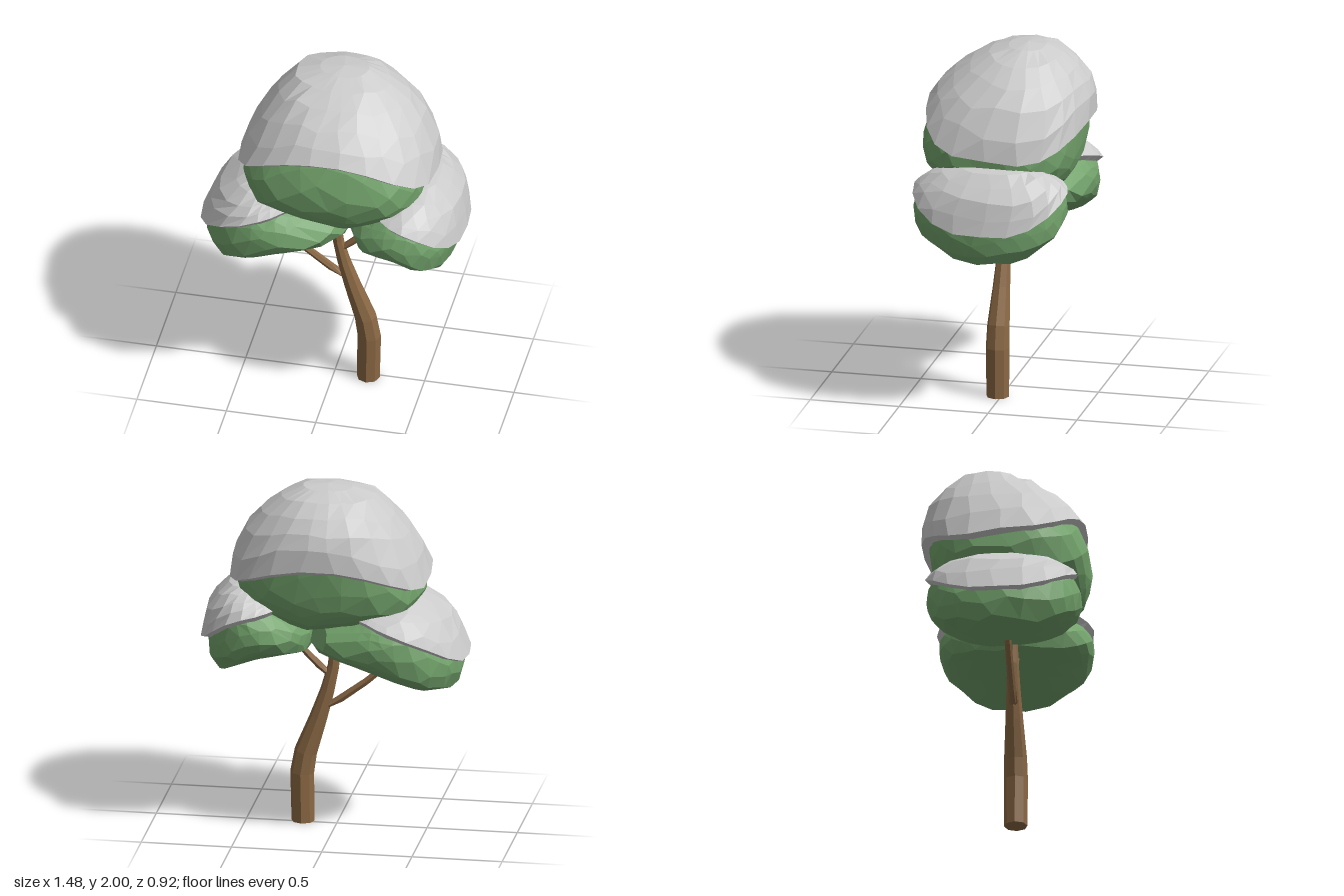
import * as THREE from 'three';

const mat = (color) => new THREE.MeshStandardMaterial({ color, flatShading: true, side: THREE.DoubleSide });
const GREEN = mat(0x73a36c), BROWN = mat(0x8a6844), SNOW = mat(0xcccccc);

// Distance from a centre to a closed outline along an angle
function reach([cx, cy], outline, angle) {
  const dx = Math.cos(angle), dy = Math.sin(angle);
  let best = 0;
  outline.forEach(([x0, y0], i) => {
    const [x1, y1] = outline[(i + 1) % outline.length];
    const ex = x1 - x0, ey = y1 - y0, den = dx * ey - dy * ex;
    if (Math.abs(den) < 1e-9) return;
    const ax = x0 - cx, ay = y0 - cy;
    const t = (ax * ey - ay * ex) / den, s = (ax * dy - ay * dx) / den;
    if (t > 0 && s >= -1e-6 && s <= 1 + 1e-6) best = Math.max(best, t);
  });
  return best;
}

// Value on a piecewise linear curve
function curve(points, x) {
  if (x <= points[0][0]) return points[0][1];
  for (let i = 1; i < points.length; i++) {
    const [x0, y0] = points[i - 1], [x1, y1] = points[i];
    if (x <= x1) return y0 + (y1 - y0) * (x - x0) / (x1 - x0);
  }
  return points[points.length - 1][1];
}

// Slightly irregular direction, for uneven facets
function jitter(d, amount) {
  return new THREE.Vector3(
    d.x + amount * Math.sin(13 * d.y + 29 * d.z + 7 * d.x),
    d.y + amount * Math.sin(17 * d.z + 23 * d.x + 1),
    d.z + amount * Math.sin(19 * d.x + 31 * d.y + 2)).normalize();
}

// Point on a foliage clump in a direction, pushed out by grow;
// power runs from below to above: small is boxy, 1 is round
function clumpPoint(c, d, grow) {
  const angle = Math.atan2(d.y, d.x);
  const power = curve([[-0.8, c.power[0]], [0, c.power[1]], [0.8, c.power[2]]], d.y);
  const r = (reach(c.centre, c.outline, angle) + grow) * Math.pow(Math.hypot(d.x, d.y), power);
  const y = c.centre[1] + r * Math.sin(angle);
  const depth = (d.z > 0 ? c.front : c.back) + grow;
  const z = c.z + Math.sign(d.z) * Math.pow(Math.abs(d.z), power) * depth
    - c.lean * Math.max(0, y - c.centre[1]);
  return new THREE.Vector3(c.centre[0] + r * Math.cos(angle), y, z);
}

function foliage(c) {
  const geo = new THREE.IcosahedronGeometry(1, 4);
  const pos = geo.attributes.position, v = new THREE.Vector3();
  for (let i = 0; i < pos.count; i++) {
    const p = clumpPoint(c, jitter(v.fromBufferAttribute(pos, i), 0.06), 0);
    pos.setXYZ(i, p.x, p.y, p.z);
  }
  geo.computeVertexNormals();
  return new THREE.Mesh(geo, GREEN);
}

// Snow dome from an arched rim up to the top, with a lip tucked into the leaves
function snowCap(c) {
  const n = 22, rings = 6, verts = [], index = [];
  const dir = (az, el) => new THREE.Vector3(Math.cos(el) * Math.cos(az), Math.sin(el), Math.cos(el) * Math.sin(az));
  const rims = [];
  for (let i = 0; i < n; i++) {
    let lo = -1.4, hi = 1.5;
    for (let k = 0; k < 24; k++) {
      const mid = (lo + hi) / 2, p = clumpPoint(c, dir(i / n * Math.PI * 2, mid), 0.04);
      if (p.y < c.rim(p.x, p.z)) lo = mid; else hi = mid;
    }
    rims.push(hi);
  }
  for (let j = -1; j <= rings; j++) {
    for (let i = 0; i < n; i++) {
      const t = Math.max(0, j) / rings;
      const el = rims[i] + (Math.PI / 2 - rims[i]) * t;
      const d = dir(i / n * Math.PI * 2, el);
      const wobble = j > 0 && j < rings ? 0.05 * Math.cos(el) ** 2 : 0;
      const p = clumpPoint(c, jitter(d, wobble), j < 0 ? -0.01 : 0.04);
      verts.push(p.x, j < 0 ? p.y - 0.02 : p.y, p.z);
    }
  }
  for (let j = 0; j <= rings; j++) {
    for (let i = 0; i < n; i++) {
      const a = j * n + i, b = j * n + (i + 1) % n;
      index.push(a, a + n, b, b, a + n, b + n);
    }
  }
  const geo = new THREE.BufferGeometry();
  geo.setAttribute('position', new THREE.Float32BufferAttribute(verts, 3));
  geo.setIndex(index);
  geo.computeVertexNormals();
  return new THREE.Mesh(geo, SNOW);
}

// Tapered limb through [x, y, radius] stations
function limb(stations, sides) {
  const n = stations.length - 1;
  const geo = new THREE.CylinderGeometry(1, 1, 1, sides, n);
  const pos = geo.attributes.position;
  for (let i = 0; i < pos.count; i++) {
    const k = Math.round((pos.getY(i) + 0.5) * n);
    const [x, y, r] = stations[k];
    const a = stations[Math.max(0, k - 1)], b = stations[Math.min(n, k + 1)];
    const len = Math.hypot(b[0] - a[0], b[1] - a[1]);
    const tx = k ? (b[0] - a[0]) / len : 0, ty = k ? (b[1] - a[1]) / len : 1;
    const u = pos.getX(i) * r;
    pos.setXYZ(i, x + u * ty, y - u * tx, 0.02 + pos.getZ(i) * r);
  }
  geo.computeVertexNormals();
  return new THREE.Mesh(geo, BROWN);
}

const CLUMPS = {
  top: {
    centre: [0.03, 1.5], z: 0, front: 0.45, back: 0.42, lean: 0.22, power: [0.68, 0.75, 1.02],
    outline: [[0.54, 1.5], [0.51, 1.62], [0.42, 1.77], [0.29, 1.88], [0.17, 1.95], [0, 1.96], [-0.2, 1.93],
      [-0.35, 1.76], [-0.45, 1.58], [-0.49, 1.45], [-0.49, 1.35], [-0.44, 1.28], [-0.2, 1.21], [0.14, 1.16],
      [0.35, 1.23], [0.5, 1.31], [0.54, 1.4]],
    rim: (x, z) => 1.69 - 0.21 * ((x - 0.03) / 0.54) ** 2 - 0.18 * Math.max(0, -z),
  },
  right: {
    centre: [-0.31, 1.12], z: -0.01, front: 0.44, back: 0.41, lean: 0.05, power: [0.95, 0.85, 0.85],
    outline: [[0.14, 1.1], [0.14, 1.18], [0, 1.23], [-0.22, 1.31], [-0.43, 1.32], [-0.58, 1.24], [-0.66, 1.12],
      [-0.71, 1], [-0.69, 0.88], [-0.61, 0.81], [-0.4, 0.86], [-0.2, 0.93], [0.1, 1.04]],
    rim: (x) => curve([[-0.73, 1.02], [-0.6, 1.13], [-0.4, 1.23], [-0.22, 1.28], [0.1, 1.29]], x),
  },
  left: {
    centre: [0.42, 1.17], z: -0.01, front: 0.44, back: 0.41, lean: 0.1, power: [0.95, 0.85, 0.85],
    outline: [[0.7, 1.1], [0.66, 1.27], [0.55, 1.38], [0.45, 1.39], [0.3, 1.34], [0.12, 1.2], [0.1, 1.13],
      [0.12, 1.04], [0.4, 0.97], [0.63, 0.89], [0.69, 0.97]],
    rim: (x) => curve([[0.3, 1.32], [0.5, 1.28], [0.6, 1.22], [0.73, 1.09]], x),
  },
};

export function createModel() {
  const tree = new THREE.Group();
  tree.name = 'snowyTree';
  const add = (mesh, name) => { mesh.name = name; tree.add(mesh); };

  // Trunk and branches
  add(limb([[0.19, 0, 0.064], [0.195, 0.28, 0.066], [0.175, 0.4, 0.063], [0.105, 0.6, 0.049],
    [0.055, 0.76, 0.039], [0.022, 0.9, 0.032], [0.007, 1.06, 0.027]], 8), 'trunk');
  add(limb([[0.07, 0.66, 0.024], [-0.02, 0.715, 0.022], [-0.16, 0.82, 0.02], [-0.25, 0.9, 0.019], [-0.29, 0.96, 0.018]], 6), 'rightBranch');
  add(limb([[0.03, 0.84, 0.022], [0.1, 0.9, 0.02], [0.19, 0.99, 0.018], [0.23, 1.04, 0.017]], 6), 'leftBranch');

  // Leaf clumps with snow on top
  for (const [name, c] of Object.entries(CLUMPS)) {
    add(foliage(c), name + 'Foliage');
    add(snowCap(c), name + 'Snow');
  }
  return tree;
}
